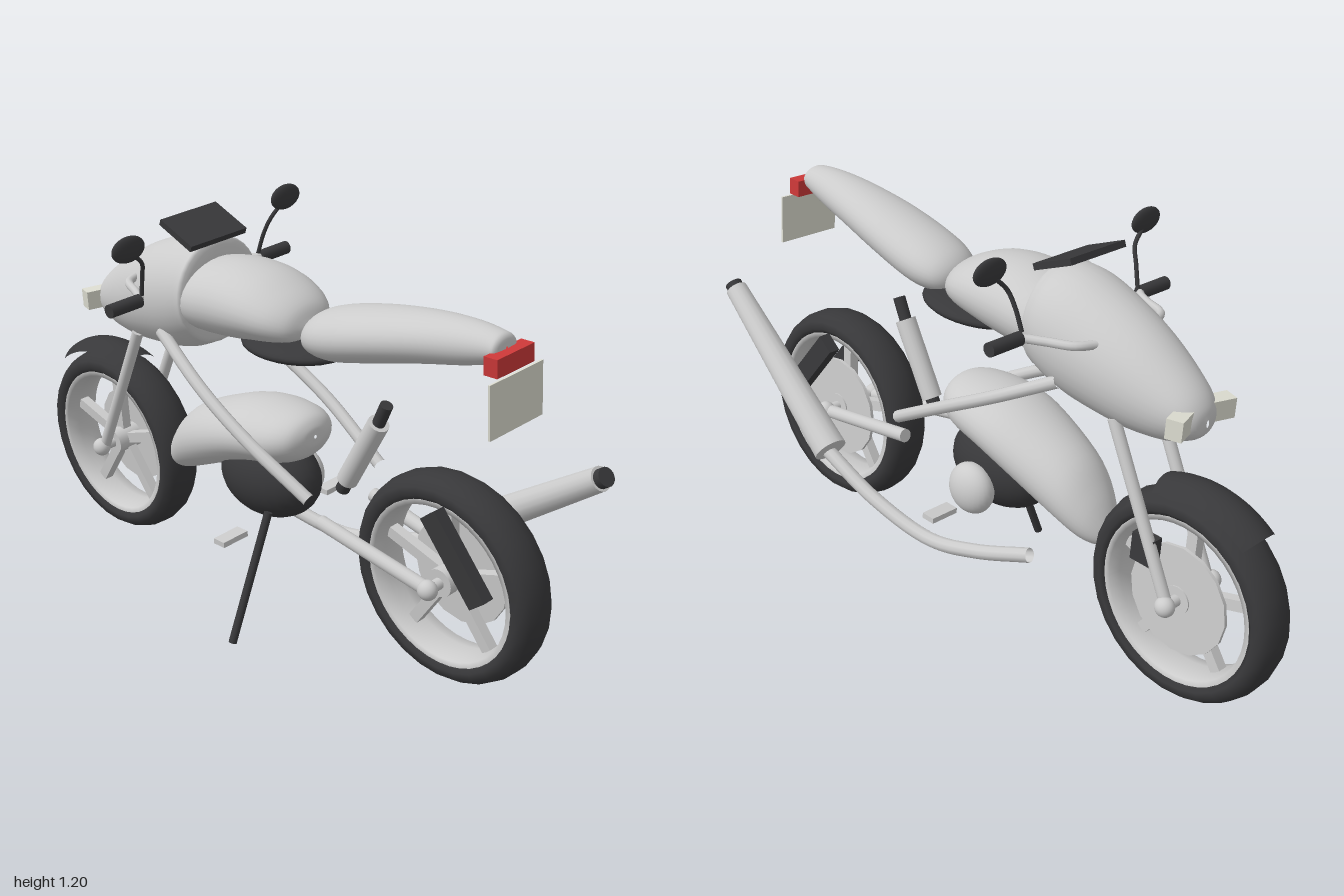
import * as THREE from 'three';

const grey = new THREE.MeshStandardMaterial({ color: 0xcccccc });
const greyThin = new THREE.MeshStandardMaterial({ color: 0xcccccc, side: THREE.DoubleSide });
const dark = new THREE.MeshStandardMaterial({ color: 0x38383a });
const darkThin = new THREE.MeshStandardMaterial({ color: 0x38383a, side: THREE.DoubleSide });
const red = new THREE.MeshStandardMaterial({ color: 0xcc3838 });
const cream = new THREE.MeshStandardMaterial({ color: 0xdcdcd0 });
const V = (p) => new THREE.Vector3(...p);

function add(parent, name, geometry, material, pos = [0, 0, 0], rot = [0, 0, 0]) {
  const m = new THREE.Mesh(geometry, material);
  m.name = name;
  m.position.set(...pos);
  m.rotation.set(...rot);
  parent.add(m);
  return m;
}

const box = (g, name, size, mat, pos, rot) => add(g, name, new THREE.BoxGeometry(...size), mat, pos, rot);

function ellipsoid(g, name, radii, mat, pos, rot) {
  add(g, name, new THREE.SphereGeometry(1, 28, 18), mat, pos, rot).scale.set(...radii);
}

// Straight rod between two points
function rod(g, name, a, b, r, mat, r2 = r) {
  const A = V(a), B = V(b), d = B.clone().sub(A);
  const m = add(g, name, new THREE.CylinderGeometry(r2, r, d.length(), 16), mat);
  m.position.copy(A).lerp(B, 0.5);
  m.quaternion.setFromUnitVectors(new THREE.Vector3(0, 1, 0), d.normalize());
}

// Bent pipe through points
function pipe(g, name, pts, r, mat) {
  const path = new THREE.CatmullRomCurve3(pts.map(V));
  add(g, name, new THREE.TubeGeometry(path, 24, r, 10), mat);
}

// Smooth body from elliptical sections [z, top, bottom, halfWidth], z ascending
function body(g, name, sections, mat) {
  const heights = new THREE.CatmullRomCurve3(sections.map((s) => V([s[0], s[1], s[2]])), false, 'catmullrom', 0.5);
  const widths = new THREE.CatmullRomCurve3(sections.map((s) => V([s[3], 0, 0])), false, 'catmullrom', 0.5);
  const rings = sections.length * 4, sides = 32, pos = [], index = [];
  for (let i = 0; i <= rings; i++) {
    const h = heights.getPoint(i / rings), w = Math.max(widths.getPoint(i / rings).x, 0.001);
    for (let j = 0; j < sides; j++) {
      const a = (j / sides) * Math.PI * 2;
      pos.push(w * Math.cos(a), (h.y + h.z) / 2 + ((h.y - h.z) / 2) * Math.sin(a), h.x);
      if (i === rings) continue;
      const p = i * sides + j, q = i * sides + ((j + 1) % sides);
      index.push(p, q, q + sides, p, q + sides, p + sides);
    }
  }
  const geo = new THREE.BufferGeometry();
  geo.setAttribute('position', new THREE.Float32BufferAttribute(pos, 3));
  geo.setIndex(index);
  geo.computeVertexNormals();
  add(g, name, geo, mat);
}

// Ring turned about the axle (x); points are [radius, x]
function turned(g, name, pts, mat, seg = 40, start = 0, len = Math.PI * 2) {
  const geo = new THREE.LatheGeometry(pts.map((p) => new THREE.Vector2(...p)), seg, start, len);
  return add(g, name, geo.rotateZ(-Math.PI / 2), mat);
}

function wheel(parent, name, z) {
  const g = new THREE.Group();
  g.name = name;
  g.position.set(0, 0.337, z);
  parent.add(g);
  turned(g, 'tyre', [[0.236, -0.055], [0.25, -0.067], [0.272, -0.064], [0.288, -0.043], [0.296, -0.015], [0.296, 0.015],
    [0.288, 0.043], [0.272, 0.064], [0.25, 0.067], [0.236, 0.055], [0.236, -0.055]], darkThin, 28);
  turned(g, 'rim', [[0.237, -0.058], [0.222, -0.056], [0.215, -0.02], [0.215, 0.02], [0.222, 0.056], [0.237, 0.058]], greyThin);
  for (let i = 0; i < 5; i++) {
    const a = (i / 5) * Math.PI * 2;
    box(g, 'spoke', [0.03, 0.2, 0.032], grey, [0, Math.cos(a) * 0.12, Math.sin(a) * 0.12], [a, 0, 0]);
  }
  rod(g, 'hub', [-0.05, 0, 0], [0.05, 0, 0], 0.04, grey);
  rod(g, 'axle', [-0.1, 0, 0], [0.1, 0, 0], 0.016, grey);
  rod(g, 'brakeDisc', [0.036, 0, 0], [0.046, 0, 0], 0.155, grey);
  for (const s of [-1, 1]) ellipsoid(g, 'axleNut', [0.026, 0.028, 0.028], grey, [s * 0.095, 0, 0]);
}

export function createModel() {
  const model = new THREE.Group();
  model.name = 'motorcycle';
  // Whole bike leans onto its stand
  const g = new THREE.Group();
  g.name = 'leaningBike';
  g.rotation.z = 0.087;
  g.position.x = 0.092;
  model.add(g);

  wheel(g, 'rearWheel', 0.65);
  wheel(g, 'frontWheel', -0.7);

  // Bodywork
  body(g, 'tailSeat', [[0.185, 0.92, 0.91, 0.005], [0.2, 0.955, 0.875, 0.06], [0.24, 0.985, 0.86, 0.093], [0.32, 1.012, 0.862, 0.107],
    [0.46, 1.041, 0.895, 0.103], [0.6, 1.06, 0.928, 0.086], [0.72, 1.066, 0.953, 0.066], [0.8, 1.06, 0.976, 0.05],
    [0.825, 1.05, 0.99, 0.042], [0.83, 1.025, 1.015, 0.004]], grey);
  body(g, 'fuelTank', [[-0.34, 0.96, 0.93, 0.01], [-0.3, 1.01, 0.86, 0.1], [-0.19, 1.042, 0.838, 0.145], [-0.075, 1.058, 0.842, 0.152],
    [0.03, 1.046, 0.855, 0.146], [0.11, 1.015, 0.866, 0.125], [0.16, 0.98, 0.876, 0.088], [0.18, 0.94, 0.9, 0.04], [0.185, 0.925, 0.915, 0.004]], grey);
  body(g, 'headFairing', [[-0.69, 0.84, 0.82, 0.005], [-0.68, 0.873, 0.792, 0.045], [-0.65, 0.91, 0.77, 0.075], [-0.59, 0.955, 0.748, 0.1],
    [-0.5, 1.01, 0.737, 0.124], [-0.4, 1.055, 0.742, 0.142], [-0.29, 1.09, 0.756, 0.153], [-0.21, 1.096, 0.785, 0.15],
    [-0.18, 1.085, 0.815, 0.135], [-0.17, 0.96, 0.95, 0.005]], grey);
  body(g, 'engineCowl', [[-0.425, 0.38, 0.365, 0.005], [-0.415, 0.415, 0.345, 0.04], [-0.37, 0.49, 0.343, 0.08], [-0.29, 0.57, 0.372, 0.11],
    [-0.13, 0.638, 0.44, 0.136], [-0.02, 0.662, 0.478, 0.14], [0.08, 0.662, 0.5, 0.127], [0.14, 0.65, 0.525, 0.095],
    [0.165, 0.625, 0.56, 0.05], [0.17, 0.6, 0.59, 0.005]], grey);
  ellipsoid(g, 'seatBase', [0.13, 0.034, 0.175], dark, [0, 0.863, 0.12]);
  ellipsoid(g, 'engineBlock', [0.115, 0.125, 0.172], dark, [0, 0.425, -0.02]);
  ellipsoid(g, 'engineCover', [0.05, 0.075, 0.075], grey, [0.125, 0.385, -0.02]);
  box(g, 'windscreen', [0.205, 0.018, 0.135], dark, [0, 1.122, -0.232], [0.42, 0, 0]);

  // Rear lamp and plate
  box(g, 'tailLight', [0.14, 0.048, 0.04], red, [0, 0.996, 0.837]);
  box(g, 'plate', [0.2, 0.143, 0.006], cream, [0, 0.895, 0.857]);

  // Front mudguard
  const guard = [-1, -0.75, -0.5, -0.25, 0, 0.25, 0.5, 0.75, 1].map((t) => [0.295 + 0.03 * (1 - t * t), t * 0.066]);
  const mudguard = turned(g, 'frontMudguard', guard, darkThin, 16, -0.5 * Math.PI - 0.52, 1.04);
  mudguard.position.set(0, 0.345, -0.71);
  mudguard.rotation.x = -0.12;
  // Keep the arc on top whichever way the lathe begins
  mudguard.geometry.computeBoundingBox();
  if (mudguard.geometry.boundingBox.max.y < 0.1) mudguard.geometry.rotateX(Math.PI);

  // Mirrored parts
  for (const s of [-1, 1]) {
    rod(g, 'forkLeg', [s * 0.085, 0.78, -0.465], [s * 0.085, 0.33, -0.7], 0.017, grey);
    pipe(g, 'frameTube', [[s * 0.125, 0.832, -0.305], [s * 0.158, 0.72, -0.115], [s * 0.165, 0.62, 0.06], [s * 0.14, 0.49, 0.275]], 0.018, grey);
    rod(g, 'swingArm', [s * 0.09, 0.335, 0.65], [s * 0.105, 0.412, 0.28], 0.02, grey);
    box(g, 'footPeg', [0.09, 0.016, 0.042], grey, [s * 0.205, 0.315, 0.02]);
    box(g, 'headlight', [0.07, 0.055, 0.045], cream, [s * 0.078, 0.842, -0.662], [0, s * 0.3, 0]);
    box(g, 'rearCaliper', [0.036, 0.26, 0.06], dark, [s * 0.08, 0.455, 0.735], [-0.65, 0, 0]);
    pipe(g, 'handlebar', [[s * 0.11, 0.972, -0.41], [s * 0.16, 0.972, -0.385], [s * 0.195, 0.967, -0.31], [s * 0.225, 0.965, -0.262], [s * 0.26, 0.965, -0.257]], 0.012, grey);
    rod(g, 'grip', [s * 0.228, 0.965, -0.257], [s * 0.335, 0.965, -0.257], 0.019, dark);
    pipe(g, 'mirrorStem', [[s * 0.22, 0.98, -0.255], [s * 0.228, 1.04, -0.235], [s * 0.24, 1.085, -0.215], [s * 0.28, 1.125, -0.205]], 0.006, dark);
    ellipsoid(g, 'mirror', [0.056, 0.036, 0.013], dark, [s * 0.291, 1.14, -0.202]);
  }
  box(g, 'frontCaliper', [0.035, 0.08, 0.07], dark, [0.07, 0.455, -0.6]);

  // Rear shock
  rod(g, 'shockBody', [0, 0.5, 0.285], [0, 0.705, 0.41], 0.03, grey);
  rod(g, 'shockTop', [0, 0.7, 0.407], [0, 0.765, 0.44], 0.018, dark);
  rod(g, 'shockFoot', [0, 0.465, 0.265], [0, 0.505, 0.288], 0.02, dark);

  // Exhaust on the +x side
  pipe(g, 'exhaustPipe', [[0.12, 0.275, -0.25], [0.155, 0.215, -0.075], [0.18, 0.187, 0.08], [0.205, 0.232, 0.3], [0.22, 0.315, 0.5]], 0.021, greyThin);
  rod(g, 'muffler', [0.222, 0.32, 0.475], [0.185, 0.652, 0.975], 0.05, grey, 0.033);
  rod(g, 'mufflerTip', [0.186, 0.642, 0.962], [0.1835, 0.663, 0.992], 0.026, dark);

  // Side stand
  rod(g, 'sideStand', [-0.13, 0.39, 0.1], [-0.281, 0.03, 0.08], 0.012, dark);

  return model;
}
